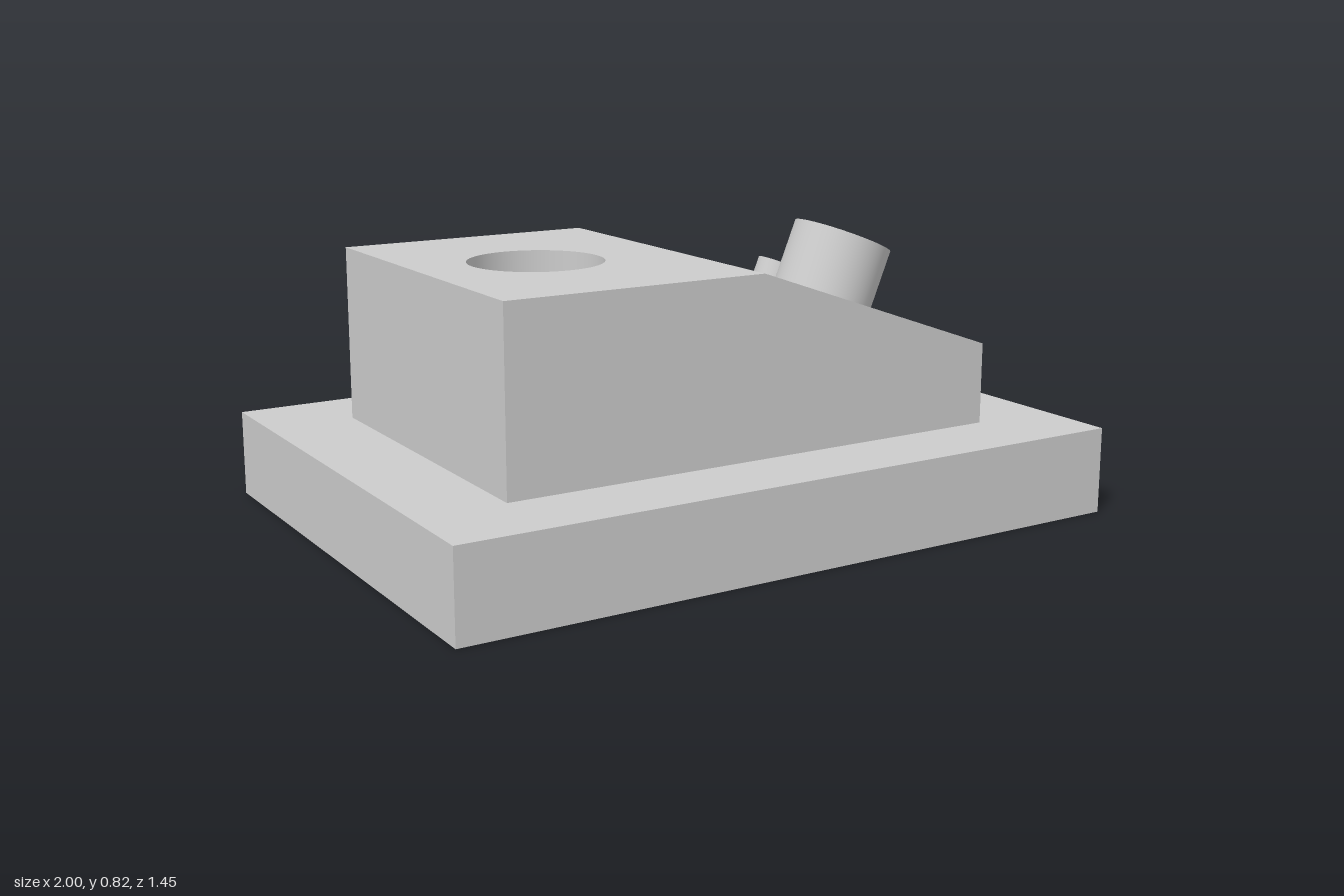
import * as THREE from 'three';
import { toCreasedNormals } from 'three/addons/utils/BufferGeometryUtils.js';

const BASE_TOP = 0.245, BODY_TOP = 0.74, SLOPE = 0.265 / 0.75;
const roofY = (x) => BODY_TOP - SLOPE * Math.max(0, x);

const material = new THREE.MeshStandardMaterial({ color: 0xcccccc });

// Loops are [x, z] points, counter-clockwise seen from above
const rect = (x0, x1, z) => [[x0, z], [x1, z], [x1, -z], [x0, -z]];
const circle = (cx, cz, r, n) => Array.from({ length: n }, (_, i) => {
  const a = (i / n) * Math.PI * 2;
  return [cx + r * Math.cos(a), cz - r * Math.sin(a)];
});

// Upright wall following a loop, from y = bottom to y = topAt(x)
function wall(name, loop, bottom, topAt) {
  const pos = [];
  loop.forEach(([ax, az], i) => {
    const [bx, bz] = loop[(i + 1) % loop.length];
    const a0 = [ax, bottom, az], b0 = [bx, bottom, bz];
    const a1 = [ax, topAt(ax), az], b1 = [bx, topAt(bx), bz];
    pos.push(...a0, ...b0, ...b1, ...a0, ...b1, ...a1);
  });
  const g = new THREE.BufferGeometry();
  g.setAttribute('position', new THREE.Float32BufferAttribute(pos, 3));
  return mesh(name, toCreasedNormals(g, 0.35));
}

// Face filling a loop, less an optional hole, at height heightAt(x)
function cap(name, loop, hole, heightAt, down = false) {
  const toVec = ([x, z]) => new THREE.Vector2(x, -z);
  const shape = new THREE.Shape(loop.map(toVec));
  if (hole) shape.holes.push(new THREE.Path(hole.map(toVec)));
  const g = new THREE.ShapeGeometry(shape).rotateX(-Math.PI / 2);
  const p = g.attributes.position;
  for (let i = 0; i < p.count; i++) p.setY(i, heightAt(p.getX(i)));
  if (down) g.index.array.reverse();
  g.computeVertexNormals();
  return mesh(name, g);
}

function mesh(name, geometry) {
  const m = new THREE.Mesh(geometry, material);
  m.name = name;
  return m;
}

// Tilted hollow boss whose lower end is trimmed to the sloping roof
function boss(name, top, outer, inner, segments) {
  const tilt = THREE.MathUtils.degToRad(22.5);
  const axis = new THREE.Vector3(Math.sin(tilt), Math.cos(tilt), 0);
  const profile = [[outer, -0.1], [outer, 0], [inner, 0], [inner, -0.1]]
    .map(([r, y]) => new THREE.Vector2(r, y));
  const g = new THREE.LatheGeometry(profile, segments);
  const p = g.attributes.position, v = new THREE.Vector3();
  for (let i = 0; i < p.count; i++) {
    const lower = p.getY(i) < -0.05;
    v.fromBufferAttribute(p, i).applyAxisAngle(new THREE.Vector3(0, 0, 1), -tilt).add(top);
    if (lower) v.addScaledVector(axis, -(v.y - roofY(v.x)) / (axis.y + SLOPE * axis.x));
    p.setXYZ(i, v.x, v.y, v.z);
  }
  return mesh(name, toCreasedNormals(g, 0.9));
}

export function createModel() {
  const model = new THREE.Group();
  model.name = 'blockWithBosses';

  const baseLoop = rect(-1, 1, 0.725);
  const footprint = rect(-0.75, 0.75, 0.495);
  const bodyLoop = [[-0.75, 0.495], [0, 0.495], [0.75, 0.495], [0.75, -0.495], [0, -0.495], [-0.75, -0.495]];
  const hole = circle(-0.405, 0, 0.187, 64);
  const level = (y) => () => y;

  // Base plate
  const base = new THREE.Group();
  base.name = 'basePlate';
  base.add(
    wall('baseSides', baseLoop, 0, level(BASE_TOP)),
    cap('baseLedge', baseLoop, footprint, level(BASE_TOP)),
    cap('baseUnderside', baseLoop, hole, level(0), true),
  );

  // Upper block with flat and sloping top
  const body = new THREE.Group();
  body.name = 'upperBlock';
  body.add(
    wall('blockSides', bodyLoop, BASE_TOP, roofY),
    cap('flatTop', rect(-0.75, 0, 0.495), hole, roofY),
    cap('slopingTop', rect(0, 0.75, 0.495), null, roofY),
  );

  // Vertical hole through both blocks, facing inwards
  const bore = wall('throughHole', [...hole].reverse(), 0, level(BODY_TOP));

  model.add(
    base, body, bore,
    boss('largeBoss', new THREE.Vector3(0.492, 0.762, 0.175), 0.143, 0.071, 48),
    boss('smallBoss', new THREE.Vector3(0.573, 0.617, -0.243), 0.071, 0.035, 24),
  );
  return model;
}
